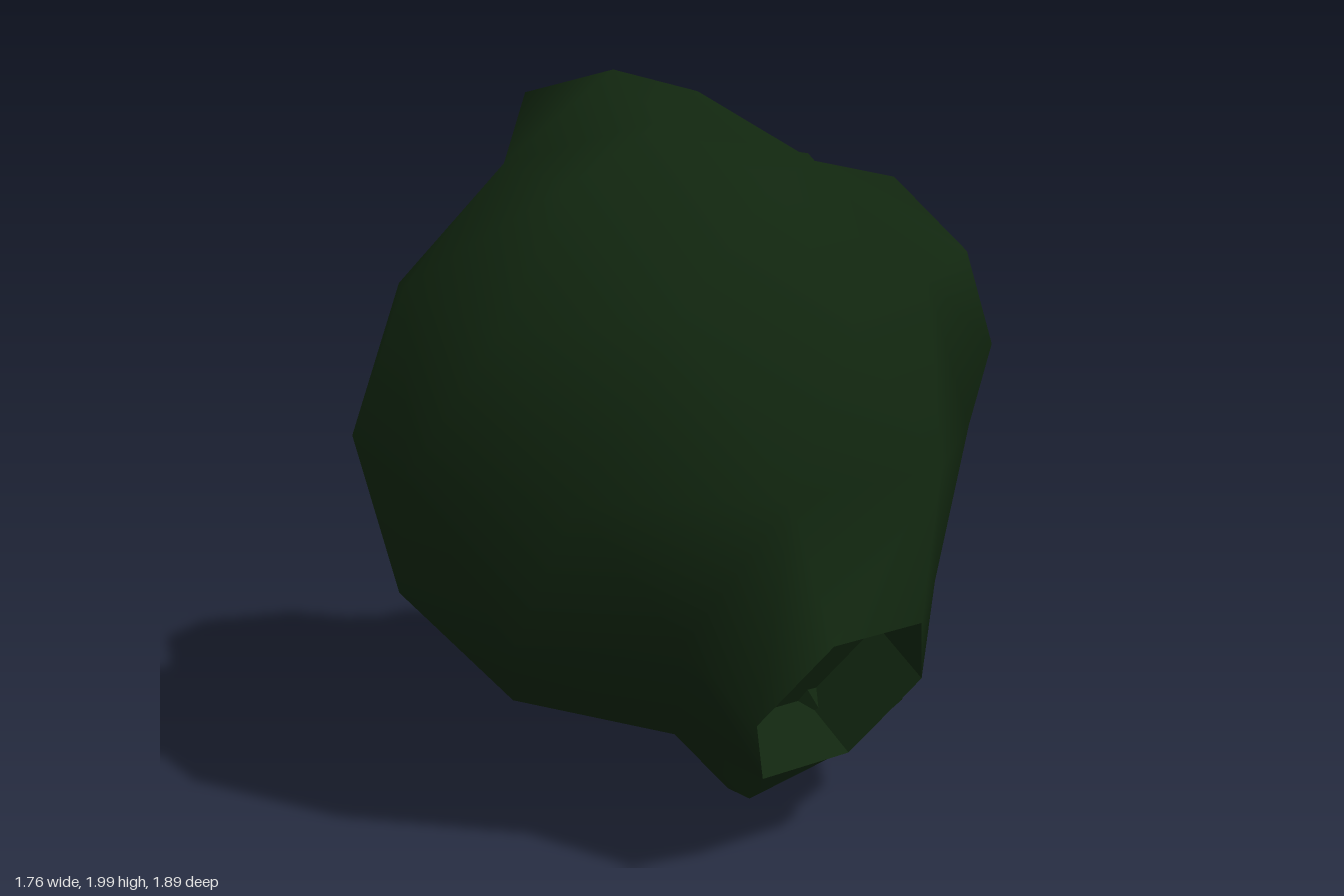
import * as THREE from 'three';
import { mergeVertices } from 'three/addons/utils/BufferGeometryUtils.js';

const CENTRE = new THREE.Vector3(-0.06, 1.02, -0.08);
const RADIUS = 0.863, RIM = 0.29, DEPTH = 0.2;

// Once-subdivided icosahedron with its poles on the y axis
function icosphere() {
  const points = [];
  const add = (v) => points.push(v.setLength(RADIUS)) - 1;
  const ring = (deg, y) => {
    const a = THREE.MathUtils.degToRad(deg);
    return add(new THREE.Vector3(2 * Math.cos(a), y, 2 * Math.sin(a)));
  };
  add(new THREE.Vector3(0, 1, 0));
  for (let k = 0; k < 5; k++) ring(72 * k, 1);
  for (let k = 0; k < 5; k++) ring(72 * k + 36, -1);
  add(new THREE.Vector3(0, -1, 0));

  const cache = {};
  const mid = (a, b) => {
    const key = Math.min(a, b) + '_' + Math.max(a, b);
    return (cache[key] ??= add(points[a].clone().add(points[b])));
  };
  const faces = [];
  for (let k = 0; k < 5; k++) {
    const n = (k + 1) % 5;
    const u = 1 + k, un = 1 + n, l = 6 + k, ln = 6 + n;
    for (const [a, b, c] of [[0, un, u], [u, un, l], [un, ln, l], [l, ln, 11]]) {
      const ab = mid(a, b), bc = mid(b, c), ca = mid(c, a);
      faces.push([a, ab, ca], [ab, b, bc], [ca, bc, c], [ab, bc, ca]);
    }
  }
  return { points, faces, mid };
}

// Triangle soup, each triangle turned to face along the given direction
function soup() {
  const data = [];
  const tri = (a, b, c, out) => {
    const n = b.clone().sub(a).cross(c.clone().sub(a));
    if (n.length() < 1e-7) return;
    const order = n.dot(out) > 0 ? [a, b, c] : [a, c, b];
    for (const p of order) data.push(p.x, p.y, p.z);
  };
  const geometry = () => {
    const g = new THREE.BufferGeometry();
    g.setAttribute('position', new THREE.Float32BufferAttribute(data, 3));
    return g;
  };
  return { tri, geometry };
}

export function createModel() {
  const group = new THREE.Group();
  group.name = 'crateredRock';
  const color = 0x11260f;
  const smooth = new THREE.MeshStandardMaterial({ color, side: THREE.DoubleSide });
  const flat = new THREE.MeshStandardMaterial({ color, side: THREE.DoubleSide, flatShading: true });
  const { points, faces, mid } = icosphere();

  // Craters: sphere vertex they grow from, and centre of the raised rim
  const craters = [
    ['topCrater', mid(0, 5), [-0.014, 1.847, -0.614]],
    ['leftCrater', 1, [0.776, 1.438, -0.08]],
    ['backLeftCrater', mid(1, 5), [0.545, 1.525, -0.61]],
    ['bottomCrater', mid(11, 6), [0.26, 0.16, 0.25]],
    ['frontCrater', mid(6, 7), [0.09, 0.475, 0.775]],
  ].map(([name, vertex, pos], order) => {
    const normal = points[vertex].clone().normalize();
    const centre = new THREE.Vector3(...pos);
    // Neighbouring vertices, sorted around the crater axis
    const loop = [...new Set(faces.filter((f) => f.includes(vertex)).flat())].filter((v) => v !== vertex);
    const offset = (v) => points[v].clone().projectOnPlane(normal).setLength(RIM);
    const ax = offset(loop[0]).normalize(), ay = normal.clone().cross(ax);
    const angle = (v) => Math.atan2(offset(v).dot(ay), offset(v).dot(ax));
    loop.sort((a, b) => angle(a) - angle(b));
    const rim = {};
    for (const v of loop) rim[v] = centre.clone().add(offset(v));
    return { name, vertex, normal, centre, loop, rim, order };
  });
  const craterAt = (v) => craters.find((c) => c.vertex === v);

  // Foot of the collar; neighbouring craters share one rim corner
  const foot = (crater, v) => {
    const other = craterAt(v);
    if (!other) return points[v].clone().add(CENTRE);
    return other.order < crater.order ? other.rim[crater.vertex] : crater.rim[v];
  };

  // Rounded body with the crater patches left out
  const body = soup();
  for (const f of faces) {
    if (f.some(craterAt)) continue;
    const [a, b, c] = f.map((v) => points[v].clone().add(CENTRE));
    body.tri(a, b, c, points[f[0]]);
  }

  for (const crater of craters) {
    const { name, normal, centre, loop, rim } = crater;
    const pit = soup();
    const sunk = (p) => p.clone().addScaledVector(normal, -DEPTH);
    const floorCentre = sunk(centre);
    loop.forEach((v, i) => {
      const w = loop[(i + 1) % loop.length];
      const a = foot(crater, v), b = foot(crater, w), p = rim[v], q = rim[w];
      // Sloping collar, smooth with the body
      const out = p.clone().add(q).multiplyScalar(0.5).sub(centre).addScaledVector(normal, 0.3);
      body.tri(a, b, q, out);
      body.tri(a, q, p, out);
      // Straight inner wall and flat floor
      const inward = centre.clone().sub(p);
      pit.tri(p, q, sunk(q), inward);
      pit.tri(p, sunk(q), sunk(p), inward);
      pit.tri(floorCentre, sunk(p), sunk(q), normal);
    });
    const pitGeometry = pit.geometry();
    pitGeometry.computeVertexNormals();
    const mesh = new THREE.Mesh(pitGeometry, flat);
    mesh.name = name;
    group.add(mesh);
  }

  const bodyGeometry = mergeVertices(body.geometry(), 1e-4);
  bodyGeometry.computeVertexNormals();
  const bodyMesh = new THREE.Mesh(bodyGeometry, smooth);
  bodyMesh.name = 'body';
  group.add(bodyMesh);
  return group;
}
